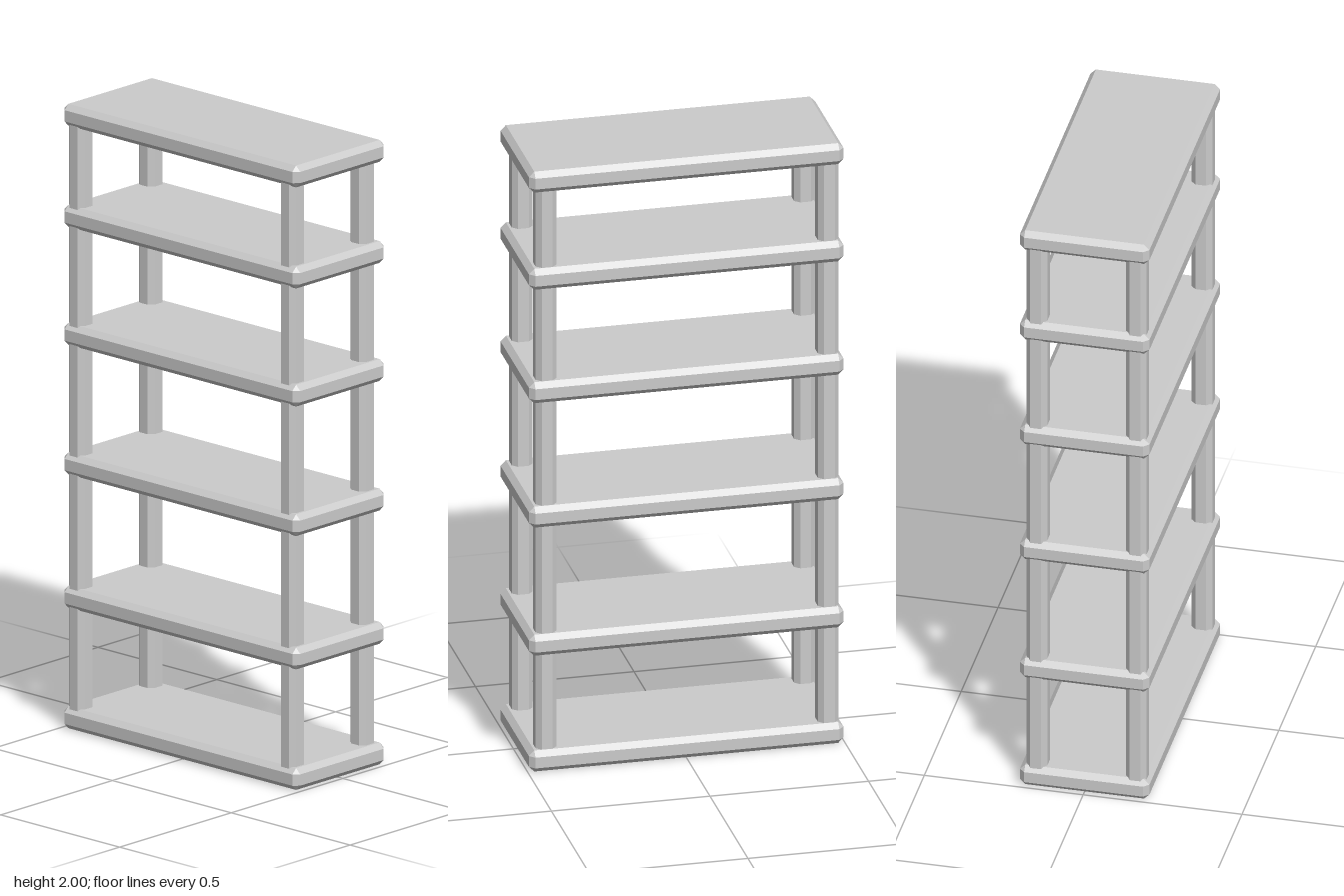
import * as THREE from 'three';
import { ConvexGeometry } from 'three/addons/geometries/ConvexGeometry.js';

const material = new THREE.MeshStandardMaterial({ color: 0xcccccc, flatShading: true });

// Box with every edge and corner chamfered by b
function chamferedBox(w, h, d, b) {
  const half = [w / 2, h / 2, d / 2];
  const points = [];
  for (const sx of [-1, 1]) for (const sy of [-1, 1]) for (const sz of [-1, 1]) {
    for (let full = 0; full < 3; full++) {
      const c = half.map((v, i) => (i === full ? v : v - b));
      points.push(new THREE.Vector3(sx * c[0], sy * c[1], sz * c[2]));
    }
  }
  return new ConvexGeometry(points);
}

export function createModel() {
  const model = new THREE.Group();
  model.name = 'shelvingUnit';

  const add = (name, geometry, x, y, z) => {
    const mesh = new THREE.Mesh(geometry, material);
    mesh.name = name;
    mesh.position.set(x, y, z);
    model.add(mesh);
  };

  // Shelves, spaced closer together towards the top
  const shelf = chamferedBox(0.992, 0.07, 0.408, 0.017);
  [0.035, 0.421, 0.848, 1.263, 1.641, 1.965].forEach((y, i) => add(`shelf${i + 1}`, shelf, 0, y, 0));

  // Corner posts running through all shelves
  const post = chamferedBox(0.066, 1.94, 0.066, 0.016);
  for (const [side, x] of [['Right', -0.452], ['Left', 0.438]]) {
    for (const [end, z] of [['front', 0.16], ['back', -0.153]]) add(`${end}${side}Post`, post, x, 1, z);
  }
  return model;
}
